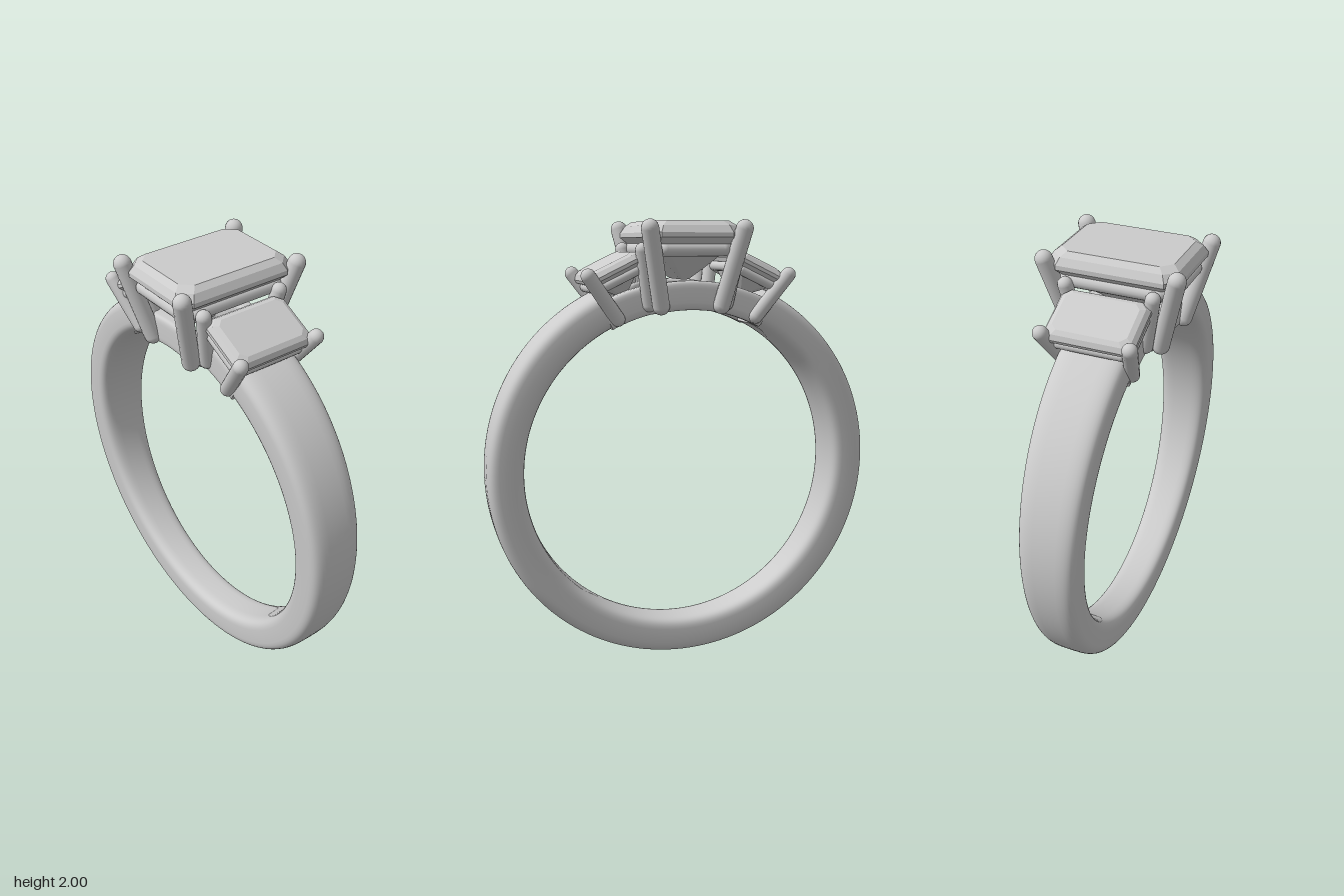
import * as THREE from 'three';
import { ConvexGeometry } from 'three/addons/geometries/ConvexGeometry.js';

const material = new THREE.MeshStandardMaterial({ color: 0xcccccc });
const CENTRE_Y = 0.89;
const V = (x, y, z) => new THREE.Vector3(x, y, z);

function add(parent, geometry, name) {
  const mesh = new THREE.Mesh(geometry, material);
  mesh.name = name;
  parent.add(mesh);
  return mesh;
}

// Round-ended bar between two points
function bar(parent, a, b, r, name) {
  const dir = b.clone().sub(a);
  const mesh = add(parent, new THREE.CapsuleGeometry(r, dir.length(), 8, 16), name);
  mesh.position.copy(a).add(b).multiplyScalar(0.5);
  mesh.quaternion.setFromUnitVectors(V(0, 1, 0), dir.normalize());
}

// Rounded section swept about the finger axis; angle t is measured from the top.
// section(t) gives inner and outer radius, z centre and half width.
function arcSweep(t0, t1, steps, power, section) {
  const n = 40, pos = [], index = [];
  const soft = (v) => Math.sign(v) * Math.pow(Math.abs(v), power);
  const row = (t, scale) => {
    const { ri, ro, zc, hw } = section(t);
    for (let j = 0; j < n; j++) {
      const p = (j / n) * Math.PI * 2;
      const r = (ri + ro) / 2 + ((ro - ri) / 2) * scale * soft(Math.cos(p));
      pos.push(Math.sin(t) * r, CENTRE_Y + Math.cos(t) * r, zc + hw * scale * soft(Math.sin(p)));
    }
  };
  // Closed end, sharp against the sides
  row(t0, 0); row(t0, 1);
  for (let i = 0; i <= steps; i++) row(t0 + ((t1 - t0) * i) / steps, 1);
  row(t1, 1); row(t1, 0);
  for (let i = 0; i < pos.length / 3 / n - 1; i++) {
    for (let j = 0; j < n; j++) {
      const k = (j + 1) % n;
      const a = i * n + j, b = i * n + k, c = a + n, d = b + n;
      index.push(a, b, c, b, d, c);
    }
  }
  const g = new THREE.BufferGeometry();
  g.setAttribute('position', new THREE.Float32BufferAttribute(pos, 3));
  g.setIndex(index);
  g.computeVertexNormals();
  return g;
}

// Rectangle with cut corners at height y
function octagon(hx, hz, cut, y) {
  const pts = [];
  for (const [sx, sz] of [[1, 1], [-1, 1], [-1, -1], [1, -1]]) {
    const p = V(sx * (hx - cut), y, sz * hz), q = V(sx * hx, y, sz * (hz - cut));
    pts.push(...(sx * sz > 0 ? [q, p] : [p, q]));
  }
  return pts;
}

// Step-cut stone: each level is [inset, y, corner cut]
function stone(hx, hz, levels) {
  return new ConvexGeometry(levels.flatMap(([inset, y, cut]) => octagon(hx - inset, hz - inset, cut, y)));
}

// Round wire following the outline of a stone
function wireFrame(parent, hx, hz, cut, y, r, name) {
  const pts = octagon(hx, hz, cut, y);
  pts.forEach((p, i) => bar(parent, p, pts[(i + 1) % pts.length], r, name));
}

export function createModel() {
  const ring = new THREE.Group();
  ring.name = 'ring';

  // Band, widening from bottom to shoulders
  add(ring, arcSweep(0.44, Math.PI * 2 - 0.44, 128, 0.5, (t) => ({
    ri: 0.725, ro: 0.89, zc: 0,
    hw: 0.093 + 0.03 * (1 + Math.cos(t)),
  })), 'band');

  // Front and back gallery walls that bridge the open head
  for (const s of [1, -1]) {
    add(ring, arcSweep(-0.48, 0.48, 40, 0.4, (t) => {
      const bulge = 1 - THREE.MathUtils.smoothstep(Math.abs(t), 0.16, 0.24);
      return { ri: 0.725, ro: 0.852, zc: s * (0.113 + 0.045 * bulge), hw: 0.036 };
    }), 'galleryWall');
  }

  // Centre setting
  const centre = new THREE.Group();
  centre.name = 'centreSetting';
  ring.add(centre);
  add(centre, stone(0.213, 0.288, [
    [0.045, 1.995, 0.045], [0.018, 1.975, 0.05], [0, 1.945, 0.055], [0, 1.925, 0.055],
    [0.06, 1.865, 0.04], [0.13, 1.80, 0.025], [0.193, 1.745, 0.01],
  ]), 'centreStone');
  wireFrame(centre, 0.172, 0.242, 0.045, 1.875, 0.03, 'centreRail');
  for (const sx of [1, -1]) {
    for (const sz of [1, -1]) {
      bar(centre, V(sx * 0.137, 1.635, sz * 0.198), V(sx * 0.207, 1.962, sz * 0.285), 0.038, 'centreProng');
    }
    // Cross bars under the head
    bar(centre, V(sx * 0.145, 1.64, -0.18), V(sx * 0.145, 1.64, 0.18), 0.026, 'crossBar');
  }

  // Tilted side settings
  for (const s of [1, -1]) {
    const side = new THREE.Group();
    side.name = s > 0 ? 'leftSetting' : 'rightSetting';
    ring.add(side);

    const seat = new THREE.Group();
    seat.name = 'sideSeat';
    seat.position.set(s * 0.325, 1.79, 0);
    seat.rotation.z = -s * 0.45;
    side.add(seat);
    add(seat, stone(0.13, 0.195, [
      [0.035, 0.035, 0.025], [0.015, 0.025, 0.03], [0, 0.005, 0.035], [0, -0.01, 0.035],
      [0.04, -0.05, 0.03], [0.115, -0.125, 0.01],
    ]), 'sideStone');
    wireFrame(seat, 0.105, 0.165, 0.03, -0.042, 0.022, 'sideRail');

    for (const sz of [1, -1]) {
      bar(side, V(s * 0.315, 1.58, sz * 0.145), V(s * 0.45, 1.765, sz * 0.19), 0.032, 'outerProng');
      bar(side, V(s * 0.175, 1.64, sz * 0.145), V(s * 0.215, 1.872, sz * 0.19), 0.032, 'innerProng');
    }
    bar(side, V(s * 0.315, 1.59, -0.13), V(s * 0.315, 1.59, 0.13), 0.025, 'crossBar');
  }
  return ring;
}
